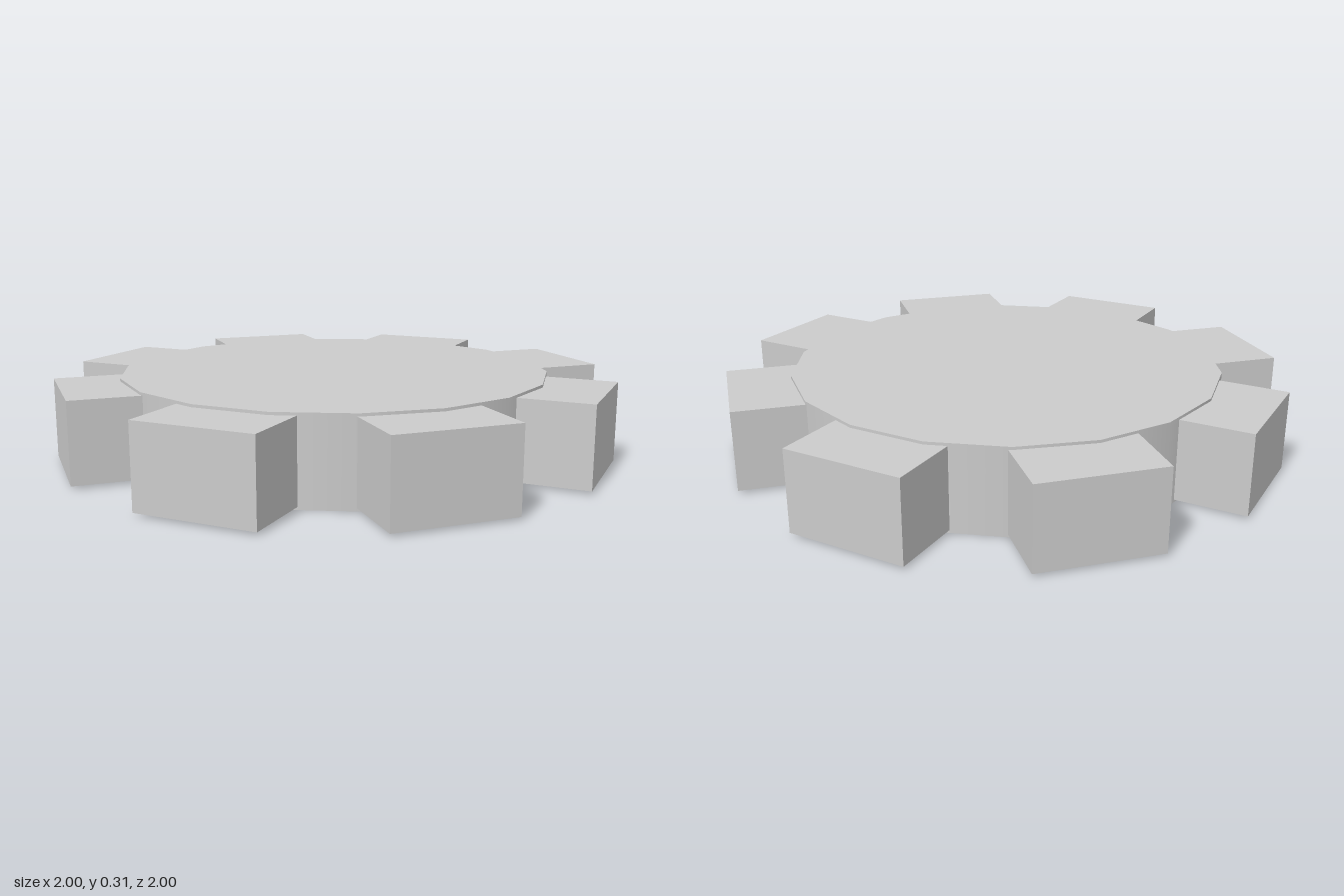
import * as THREE from 'three';

const DISC_RADIUS = 0.785, DISC_HEIGHT = 0.305;
const TEETH = 8, TOOTH_WIDTH = 0.424, TOOTH_HEIGHT = 0.285;
const TOOTH_INNER = 0.5, TOOTH_OUTER = 1;

export function createModel() {
  const group = new THREE.Group();
  group.name = 'gear';
  const material = new THREE.MeshStandardMaterial({ color: 0xcccccc });

  // Central disc, 18 sides with a corner on the x axis
  const disc = new THREE.Mesh(
    new THREE.CylinderGeometry(DISC_RADIUS, DISC_RADIUS, DISC_HEIGHT, 18, 1, false, Math.PI / 2),
    material
  );
  disc.name = 'disc';
  disc.position.set(-0.004, DISC_HEIGHT / 2, 0);
  group.add(disc);

  // Block teeth around the rim, slightly thinner than the disc
  const toothGeometry = new THREE.BoxGeometry(TOOTH_OUTER - TOOTH_INNER, TOOTH_HEIGHT, TOOTH_WIDTH);
  toothGeometry.translate((TOOTH_OUTER + TOOTH_INNER) / 2, DISC_HEIGHT / 2, 0);
  for (let i = 0; i < TEETH; i++) {
    const tooth = new THREE.Mesh(toothGeometry, material);
    tooth.name = `tooth${i + 1}`;
    tooth.rotation.y = (i / TEETH) * Math.PI * 2;
    group.add(tooth);
  }
  return group;
}
